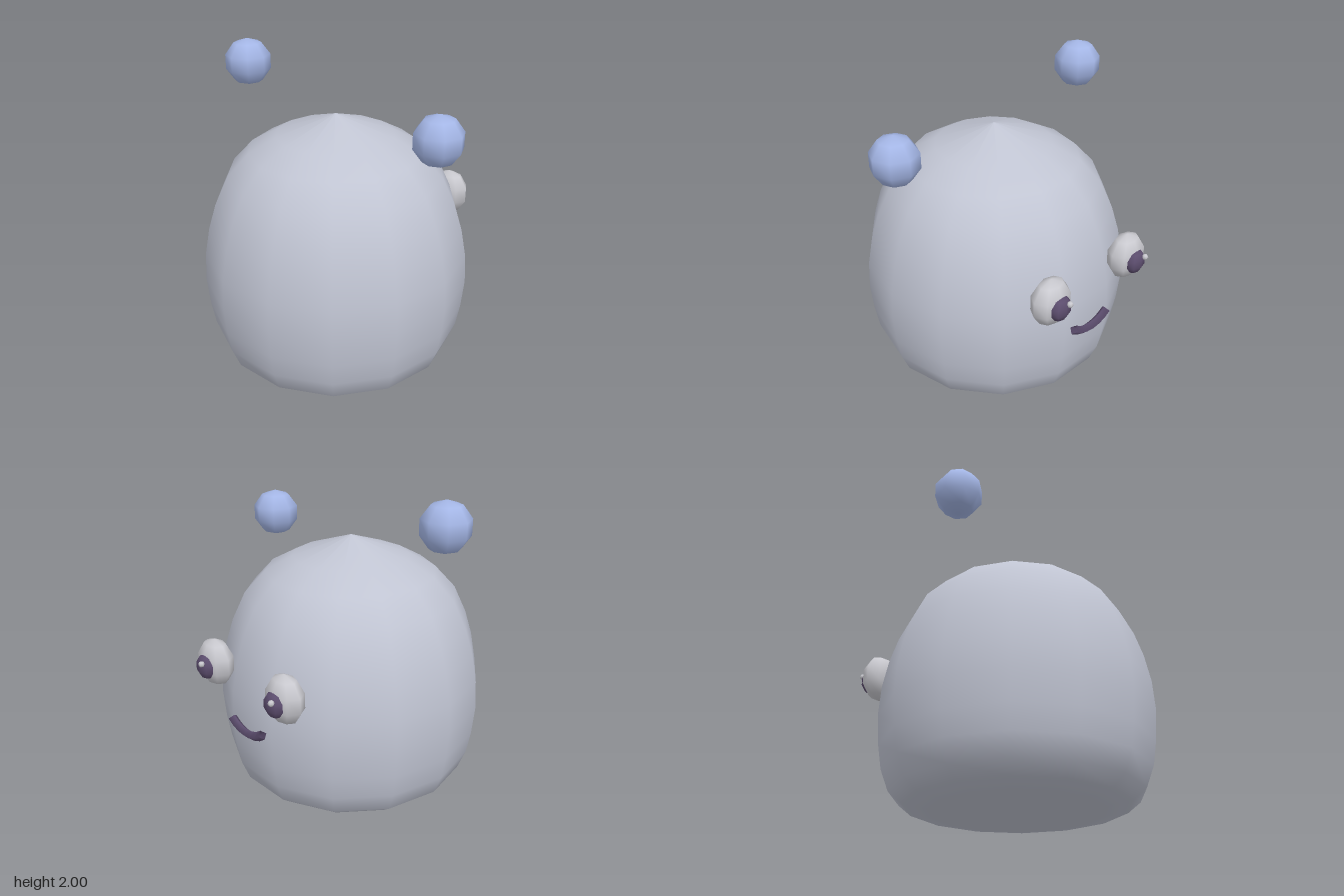
import * as THREE from 'three';

export function createModel() {
  const model = new THREE.Group();
  const mat = (name, color, side = THREE.FrontSide) => {
    const m = new THREE.MeshStandardMaterial({ color, side });
    m.name = name;
    return m;
  };
  const bodyGrey = mat('body grey', 0xc0c4d2);
  const ballBlue = mat('ball blue', 0xa4b6e6);
  const eyeWhite = mat('eye white', 0xcacad0);
  const darkPlum = mat('dark plum', 0x5c4d6e, THREE.DoubleSide);

  const add = (name, geometry, material, x, y, z) => {
    const mesh = new THREE.Mesh(geometry, material);
    mesh.name = name;
    mesh.position.set(x, y, z);
    model.add(mesh);
    return mesh;
  };
  // coarse sphere stretched to three radii
  const blob = (rx, ry, rz, w = 8, h = 5) => new THREE.SphereGeometry(1, w, h).scale(rx, ry, rz);

  // rounded dome body, 14 sides, with a flat base
  const profile = [
    [0.55, 0.005], [0.69, 0.03], [0.775, 0.1], [0.825, 0.23], [0.85, 0.38], [0.866, 0.57],
    [0.855, 0.76], [0.82, 0.94], [0.77, 1.1], [0.685, 1.28], [0.55, 1.425], [0.375, 1.52], [0, 1.65],
  ].map(([r, y]) => new THREE.Vector2(r, y));
  add('body', new THREE.LatheGeometry(profile, 14, Math.PI / 2), bodyGrey, 0, 0, 0.07);
  add('base', new THREE.CircleGeometry(0.55, 14).rotateX(Math.PI / 2), bodyGrey, 0, 0.005, 0.07);

  // floating balls at different heights
  add('rightBall', blob(0.155, 0.155, 0.155), ballBlue, -0.75, 1.845, 0.07);
  add('leftBall', blob(0.155, 0.155, 0.155), ballBlue, 0.75, 1.655, 0.07);

  // eyes, pupils and glints on the face
  for (const s of [-1, 1]) {
    add('eye', blob(0.142, 0.155, 0.1), eyeWhite, s * 0.338, 0.925, -0.775);
    add('pupil', blob(0.078, 0.08, 0.048), darkPlum, s * 0.337, 0.915, -0.855);
    add('glint', blob(0.02, 0.02, 0.02, 6, 4), eyeWhite, s * 0.34 - 0.03, 0.955, -0.9);
  }

  // smiling mouth, a four-sided arc
  const half = 0.71;
  const smile = new THREE.TorusGeometry(0.23, 0.03, 4, 6, half * 2).rotateZ(-Math.PI / 2 - half);
  add('mouth', smile, darkPlum, 0, 0.79, -0.807);

  return model;
}
